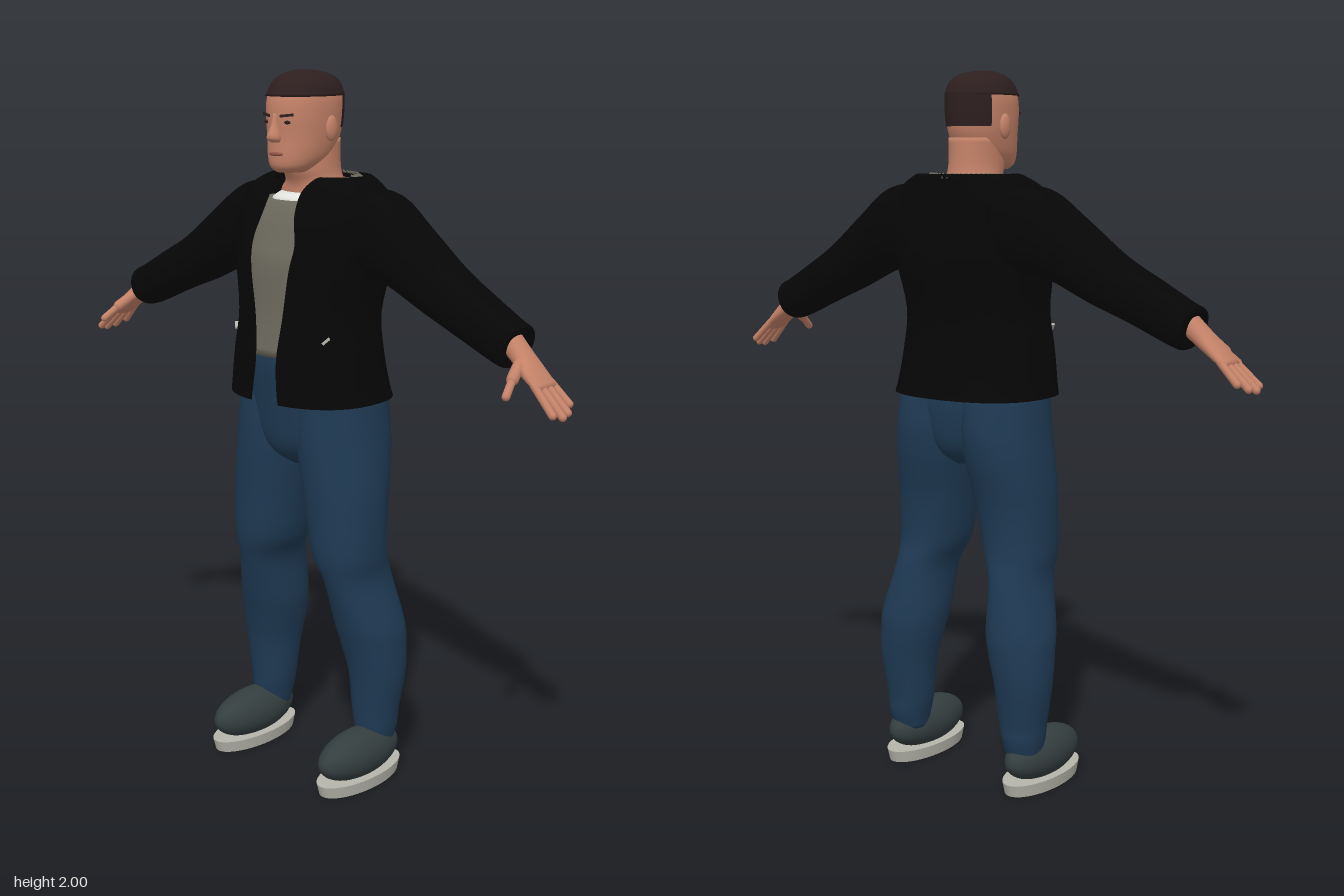
import * as THREE from 'three';

const V = (x, y, z) => new THREE.Vector3(x, y, z);
const TAU = Math.PI * 2;
const mat = (name, color, side = THREE.FrontSide) => {
  const m = new THREE.MeshStandardMaterial({ color, side });
  m.name = name;
  return m;
};

// Superelliptic ring: centre c, half axes A (sine) and B (cosine), exponent n
function ring(c, A, B, n = 2, t0 = 0, t1 = TAU, count = 36) {
  const sp = (v) => Math.sign(v) * Math.pow(Math.abs(v), 2 / n);
  const closed = t1 - t0 > TAU - 1e-6;
  return Array.from({ length: count }, (_, i) => {
    const t = t0 + ((t1 - t0) * i) / (closed ? count : count - 1);
    return c.clone().addScaledVector(A, sp(Math.sin(t))).addScaledVector(B, sp(Math.cos(t)));
  });
}

// Skin a list of rings, closed around and capped unless open
function loft(rings, open = false) {
  const n = rings[0].length, pts = rings.flat(), idx = [];
  for (let i = 0; i < rings.length - 1; i++) {
    for (let j = 0; j < (open ? n - 1 : n); j++) {
      const k = (j + 1) % n, a = i * n + j, b = i * n + k;
      idx.push(a, b, b + n, a, b + n, a + n);
    }
  }
  if (!open) {
    for (const [r, flip] of [[0, true], [rings.length - 1, false]]) {
      const mid = rings[r].reduce((s, p) => s.add(p), V(0, 0, 0)).divideScalar(n);
      const m = pts.push(mid) - 1;
      for (let j = 0; j < n; j++) {
        const a = r * n + j, b = r * n + ((j + 1) % n);
        idx.push(...(flip ? [b, a, m] : [a, b, m]));
      }
    }
  }
  const g = new THREE.BufferGeometry().setFromPoints(pts);
  g.setIndex(idx);
  g.computeVertexNormals();
  return g;
}

// Smoothly interpolate rows of numbers
function smooth(rows, steps = 4) {
  const out = [];
  for (let i = 0; i < rows.length - 1; i++) {
    const [p, a, b, q] = [rows[Math.max(i - 1, 0)], rows[i], rows[i + 1], rows[Math.min(i + 2, rows.length - 1)]];
    for (let s = 0; s < steps; s++) {
      const t = s / steps;
      out.push(a.map((v, k) => 0.5 * (2 * v + (b[k] - p[k]) * t + (2 * p[k] - 5 * v + 4 * b[k] - q[k]) * t * t
        + (3 * v - p[k] - 3 * b[k] + q[k]) * t * t * t)));
    }
  }
  out.push(rows[rows.length - 1]);
  return out;
}

// Level slice from a row: y, half width, front z, back z
const slice = ([y, rx, zf, zb], n = 2, x = 0, t0 = 0, t1 = TAU) =>
  ring(V(x, y, (zf + zb) / 2), V(rx, 0, 0), V(0, 0, (zf - zb) / 2), n, t0, t1);
const body = (rows, n) => loft(smooth(rows).map((r) => slice(r, n)));
const arcBody = (rows, t0, t1) => loft(smooth(rows).map((r) => slice(r, 2, 0, t0, t1)), true);

// Sideways slice from a row: top x, top y, bottom x, bottom y, front z, back z
const armSlice = ([tx, ty, bx, by, zf, zb]) =>
  ring(V((tx + bx) / 2, (ty + by) / 2, (zf + zb) / 2), V((bx - tx) / 2, (by - ty) / 2, 0), V(0, 0, (zf - zb) / 2), 2.2);

// Rounded limb between two points
function limb(a, b, r) {
  const d = b.clone().sub(a);
  const g = new THREE.CapsuleGeometry(r, d.length(), 5, 10);
  g.applyQuaternion(new THREE.Quaternion().setFromUnitVectors(V(0, 1, 0), d.normalize()));
  const m = a.clone().add(b).multiplyScalar(0.5);
  return g.translate(m.x, m.y, m.z);
}

function mirror(geo) {
  const g = geo.clone().scale(-1, 1, 1), ix = g.index;
  for (let i = 0; i < ix.count; i += 3) {
    const a = ix.getX(i);
    ix.setX(i, ix.getX(i + 1));
    ix.setX(i + 1, a);
  }
  return g;
}

export function createModel() {
  const skin = mat('skin', 0xc48268), hair = mat('hair', 0x2e1f1f, THREE.DoubleSide);
  const black = mat('jacketBlack', 0x060606, THREE.DoubleSide), denim = mat('denim', 0x1f3a54);
  const grey = mat('shirtGrey', 0x6e6b5f, THREE.DoubleSide), shoeMat = mat('shoeGrey', 0x343e3f);
  const soleMat = mat('soleLight', 0xb4b4aa), white = mat('undershirtWhite', 0xe2e2de);
  const lip = mat('lips', 0x96584a);
  const model = new THREE.Group();
  const add = (name, geo, m) => {
    const mesh = new THREE.Mesh(geo, m);
    mesh.name = name;
    model.add(mesh);
  };
  const pair = (name, geo, m) => {
    add(name + 'Left', geo, m);
    add(name + 'Right', mirror(geo), m);
  };
  const ball = (x, y, z, rx, ry, rz) => new THREE.SphereGeometry(1, 32, 20).scale(rx, ry, rz).translate(x, y, z);

  // Head, neck and face
  const upper = [[1.93, 0.086, 0.14, -0.09], [1.965, 0.073, 0.12, -0.076], [1.986, 0.05, 0.092, -0.045], [1.996, 0.02, 0.055, 0.005]];
  add('head', body([[1.735, 0.038, 0.122, 0.03], [1.75, 0.058, 0.138, 0], [1.78, 0.074, 0.142, -0.05],
    [1.83, 0.083, 0.141, -0.08], [1.88, 0.087, 0.144, -0.088], ...upper], 2.1), skin);
  add('neck', body([[1.64, 0.12, 0.07, -0.12], [1.685, 0.105, 0.065, -0.11], [1.71, 0.078, 0.07, -0.095],
    [1.75, 0.071, 0.088, -0.088], [1.82, 0.07, 0.08, -0.086]]), skin);
  add('nose', body([[1.815, 0.014, 0.15, 0.12], [1.828, 0.019, 0.167, 0.12], [1.86, 0.011, 0.155, 0.12],
    [1.89, 0.009, 0.146, 0.12]]), skin);
  pair('ear', ball(0.086, 1.85, 0.015, 0.012, 0.034, 0.021), skin);
  pair('eye', ball(0.034, 1.868, 0.133, 0.014, 0.005, 0.005), hair);
  pair('eyebrow', new THREE.BoxGeometry(0.036, 0.007, 0.008).rotateY(0.35).rotateZ(0.12).translate(0.036, 1.886, 0.135), hair);
  add('mouth', ball(0, 1.785, 0.139, 0.026, 0.006, 0.006), lip);

  // Cropped hair: crown plus a lower patch at the back
  const crown = upper.map(([y, r, f, b]) => [y + 0.004, r + 0.004, f + 0.004, b - 0.004]);
  add('hairCrown', body(crown, 2.1), hair);
  add('hairBack', arcBody([[1.85, 0.088, 0.146, -0.09], [1.89, 0.092, 0.148, -0.094], [1.94, 0.091, 0.144, -0.095]],
    TAU * 0.335, TAU * 0.665), hair);

  // Open jacket body; last number in each row is half the front opening
  const coat = [[1.115, 0.235, 0.19, -0.19, 0.05], [1.15, 0.228, 0.19, -0.18, 0.045], [1.24, 0.218, 0.183, -0.16, 0.038],
    [1.35, 0.205, 0.172, -0.157, 0.05], [1.48, 0.225, 0.17, -0.185, 0.07], [1.55, 0.235, 0.155, -0.18, 0.078],
    [1.62, 0.24, 0.135, -0.165, 0.06], [1.68, 0.222, 0.105, -0.15, 0.055], [1.715, 0.17, 0.075, -0.142, 0.07],
    [1.722, 0.14, 0.06, -0.135, 0.085], [1.7, 0.115, 0.05, -0.125, 0.09]];
  add('jacketBody', loft(smooth(coat).map((r) => {
    const t = Math.asin(Math.pow(r[4] / r[1], 1.2));
    return slice(r, 2.4, 0, t, TAU - t);
  }), true), black);
  pair('sleeve', loft(smooth([[0.14, 1.7, 0.14, 1.46, 0.07, -0.15], [0.26, 1.685, 0.215, 1.455, 0.07, -0.14],
    [0.36, 1.615, 0.29, 1.442, 0.07, -0.125], [0.49, 1.518, 0.41, 1.388, 0.062, -0.105],
    [0.6, 1.455, 0.52, 1.345, 0.065, -0.09], [0.685, 1.408, 0.645, 1.292, 0.062, -0.08],
    [0.715, 1.392, 0.68, 1.285, 0.06, -0.075], [0.702, 1.37, 0.682, 1.305, 0.04, -0.055]]).map(armSlice)), black);
  pair('pocketZip', new THREE.BoxGeometry(0.024, 0.007, 0.01).rotateZ(0.7).rotateY(0.7).translate(0.17, 1.3, 0.126), soleMat);

  // Shirt, white neckline and collar trim
  add('shirt', body([...coat.slice(2, 7), [1.66, 0.17, 0.118, -0.13]].map(([y, r, f, b]) => [y, r - 0.014, f - 0.01, b + 0.014]), 2.4), grey);
  add('neckline', body([[1.65, 0.09, 0.108, -0.05], [1.665, 0.085, 0.105, -0.05], [1.678, 0.07, 0.09, -0.05]], 2.4), white);
  add('shirtCollar', arcBody([[1.64, 0.125, 0.06, -0.145], [1.7, 0.122, 0.05, -0.14], [1.71, 0.085, 0.03, -0.09]],
    TAU * 0.27, TAU * 0.73), grey);
  const trim = Array.from({ length: 49 }, (_, i) => {
    const t = TAU * (0.26 + (0.48 * i) / 48), r = i % 2 ? 1 : 0.87;
    return V(0.128 * r * Math.sin(t), 1.724 - (i % 2) * 0.012, -0.03 + 0.112 * r * Math.cos(t));
  });
  add('collarTrim', new THREE.TubeGeometry(new THREE.CatmullRomCurve3(trim), 192, 0.003, 5), grey);

  // Hands, built along x from the wrist, then tilted into place
  const place = (g) => g.rotateZ(-0.71).translate(0.69, 1.345, 0);
  const palm = [[-0.02, 0.03, 0.03, -0.035], [0.04, 0.025, 0.036, -0.033], [0.09, 0.02, 0.052, -0.036], [0.145, 0.012, 0.052, -0.036]];
  pair('palm', place(loft(smooth(palm).map(([x, h, f, b]) => armSlice([x, h, x, -h, f, b])))), skin);
  [[0.043, 0.056, 0.218], [0.02, 0.026, 0.23], [-0.003, -0.004, 0.222], [-0.026, -0.034, 0.2]].forEach(([z0, z1, x], i) =>
    pair('finger' + (i + 1), place(limb(V(0.125, 0, z0), V(x, -0.004, z1), 0.0105)), skin));
  pair('thumbBase', place(limb(V(0.05, 0, 0.02), V(0.085, -0.016, 0.075), 0.016)), skin);
  pair('thumbTip', place(limb(V(0.085, -0.016, 0.075), V(0.118, -0.032, 0.12), 0.011)), skin);

  // Jeans: hips and two legs (y, half width, front z, back z, centre x)
  add('jeansHips', body([[0.92, 0.03, 0.07, -0.08], [0.95, 0.1, 0.11, -0.115], [1, 0.16, 0.135, -0.138],
    [1.1, 0.195, 0.15, -0.15], [1.2, 0.19, 0.166, -0.138], [1.25, 0.18, 0.166, -0.13]], 2.2), denim);
  const leg = [[0.1, 0.05, 0, -0.1, 0.207], [0.15, 0.06, 0.012, -0.115, 0.207], [0.2, 0.068, 0.015, -0.118, 0.205],
    [0.31, 0.082, 0.025, -0.135, 0.207], [0.4, 0.092, 0.045, -0.145, 0.197], [0.47, 0.094, 0.065, -0.145, 0.188],
    [0.6, 0.07, 0.1, -0.125, 0.168], [0.6, 0.07, 0.1, -0.125, 0.168], [0.68, 0.098, 0.12, -0.107, 0.152],
    [0.8, 0.108, 0.127, -0.115, 0.14], [0.87, 0.113, 0.132, -0.13, 0.132], [0.95, 0.115, 0.137, -0.15, 0.121],
    [1.03, 0.112, 0.14, -0.16, 0.113], [1.12, 0.106, 0.14, -0.155, 0.108]].filter((r, i, a) => !i || r[0] > a[i - 1][0]);
  leg[6][1] = 0.078;
  pair('jeansLeg', loft(smooth(leg).map((r) => slice(r, 2.1, r[4]))), denim);

  // Shoes on flat oval soles
  pair('shoe', ball(0.213, 0.088, 0.03, 0.069, 0.07, 0.155), shoeMat);
  pair('sole', new THREE.CylinderGeometry(1, 0.94, 0.035, 40).scale(0.071, 1, 0.163).translate(0.213, 0.0175, 0.028), soleMat);
  return model;
}
